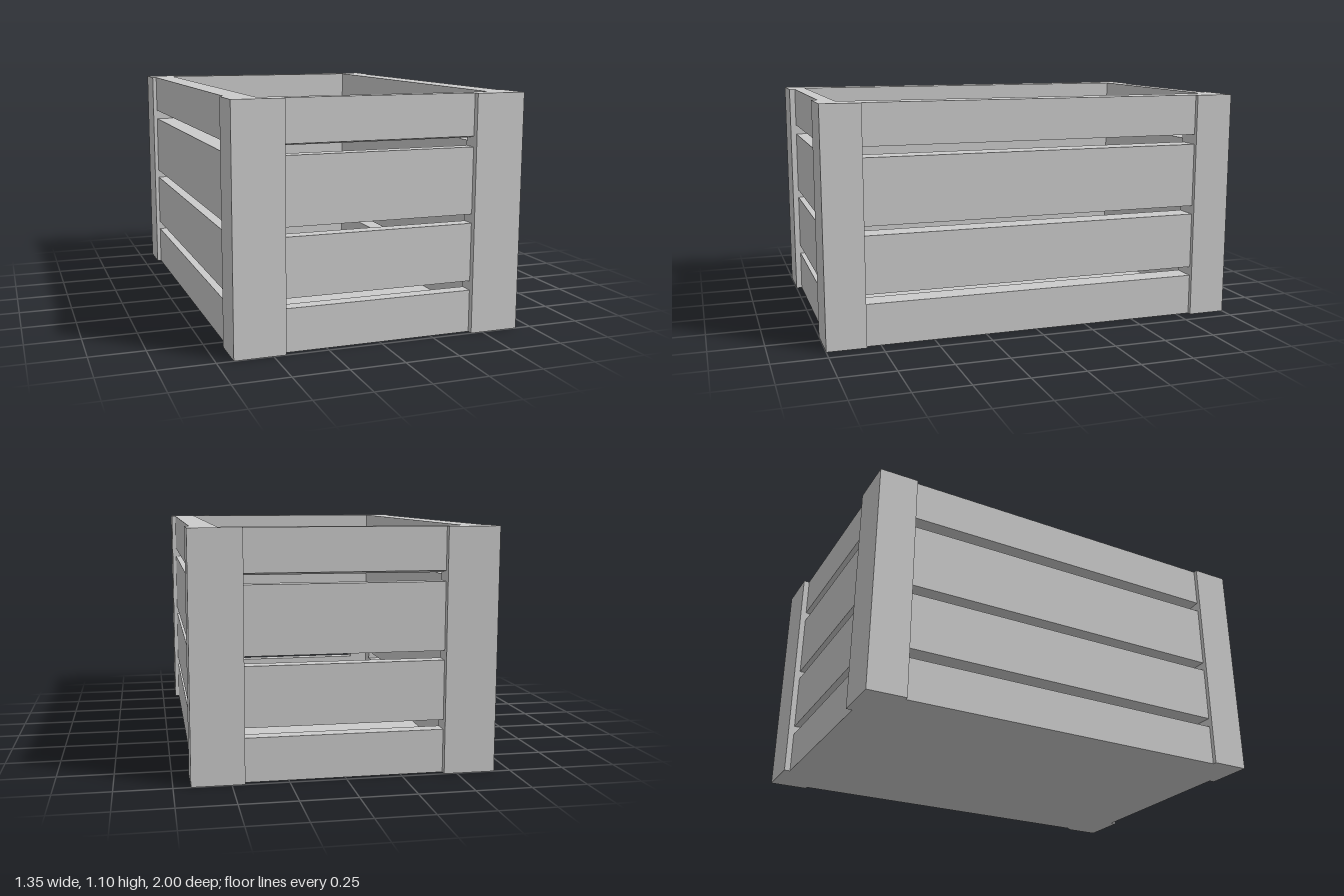
import * as THREE from 'three';

const HEIGHT = 1.095;
const material = new THREE.MeshStandardMaterial({ color: 0xcccccc, flatShading: true });

// Inner walls and the ends of the plank openings
const INNER = { x: 0.542, z: 0.908 };
const OPENING = { x: 0.443, z: 0.817 };

// Extrudes an outline given as [x, y] pairs
function extrude(points, depth) {
  const shape = new THREE.Shape(points.map(([x, y]) => new THREE.Vector2(x, y)));
  return new THREE.ExtrudeGeometry(shape, { depth, bevelEnabled: false });
}

function part(name, geometry) {
  const mesh = new THREE.Mesh(geometry, material);
  mesh.name = name;
  return mesh;
}

// L-shaped corner post, standing slightly proud of the planks
function cornerPost(sx, sz) {
  const outline = [
    [0.675, 1], [OPENING.x, 1], [OPENING.x, INNER.z],
    [INNER.x, INNER.z], [INNER.x, OPENING.z], [0.675, OPENING.z],
  ].map(([x, z]) => [x * sx, z * sz]);
  return part('cornerPost', extrude(outline, HEIGHT).rotateX(-Math.PI / 2));
}

// Planks of one wall, modelled facing +x: bottom at the outside, bottom at the inside, top
const PLANKS = [
  [0, 0, 0.196],
  [0.24, 0.24, 0.508],
  [0.55, 0.55, 0.855],
  [0.903, 0.89, HEIGHT],
];

function wall(name, inner, outer, halfLength, turn) {
  const group = new THREE.Group();
  group.name = name;
  for (const [bottomOut, bottomIn, top] of PLANKS) {
    const profile = [[inner, bottomIn], [outer, bottomOut], [outer, top], [inner, top]];
    group.add(part('plank', extrude(profile, 2 * halfLength).translate(0, 0, -halfLength)));
  }
  group.rotation.y = turn;
  return group;
}

export function createModel() {
  const crate = new THREE.Group();
  crate.name = 'crate';

  for (const sx of [1, -1]) for (const sz of [1, -1]) crate.add(cornerPost(sx, sz));

  // Long side walls, then the shorter end walls
  crate.add(wall('leftWall', INNER.x, 0.655, OPENING.z, 0));
  crate.add(wall('rightWall', INNER.x, 0.655, OPENING.z, Math.PI));
  crate.add(wall('frontWall', INNER.z, 0.972, OPENING.x, -Math.PI / 2));
  crate.add(wall('backWall', INNER.z, 0.972, OPENING.x, Math.PI / 2));

  // Thin floor panel between the walls
  const floor = part('floor', new THREE.BoxGeometry(2 * INNER.x, 0.03, 2 * INNER.z));
  floor.position.y = 0.015;
  crate.add(floor);

  return crate;
}
